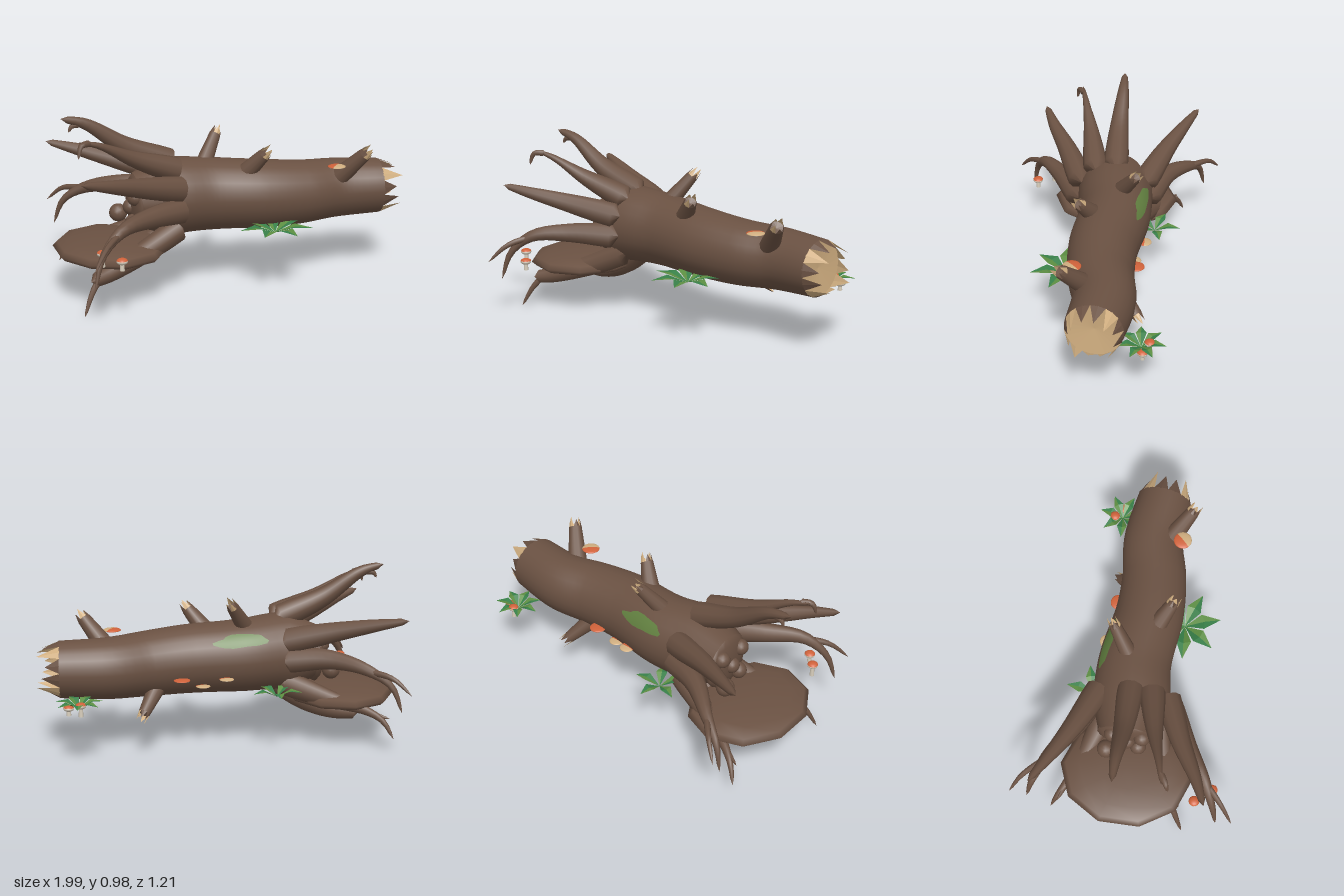
import * as THREE from 'three';

const V = (p) => new THREE.Vector3(...p);
const UP = new THREE.Vector3(0, 1, 0);
const mat = (name, color, side = THREE.FrontSide) =>
  Object.assign(new THREE.MeshStandardMaterial({ color, side }), { name });

// Piecewise linear lookup over evenly spaced values
function sample(values, t) {
  const f = Math.min(Math.max(t, 0), 1) * (values.length - 1);
  const i = Math.min(Math.floor(f), values.length - 2);
  return values[i] + (values[i + 1] - values[i]) * (f - i);
}

// Tube along a curve whose radius follows a list; ends close to points
function taperedTube(curve, radii, segments, sides, closed = true) {
  const geo = new THREE.TubeGeometry(curve, segments, 1, sides);
  const pos = geo.attributes.position;
  const v = new THREE.Vector3();
  for (let i = 0; i <= segments; i++) {
    const c = curve.getPointAt(i / segments);
    const end = closed && (i === 0 || i === segments);
    const r = end ? 0 : sample(radii, i / segments);
    for (let j = 0; j <= sides; j++) {
      const k = i * (sides + 1) + j;
      v.fromBufferAttribute(pos, k).sub(c).multiplyScalar(r).add(c);
      pos.setXYZ(k, v.x, v.y, v.z);
    }
  }
  return geo;
}

function triangles(points) {
  const geo = new THREE.BufferGeometry();
  geo.setAttribute('position', new THREE.Float32BufferAttribute(points.flat(), 3));
  geo.computeVertexNormals();
  return geo;
}

export function createModel() {
  const model = new THREE.Group();
  model.name = 'fallenTree';
  const bark = mat('bark', 0x6a5142);
  const wood = mat('bareWood', 0xd0ae80);
  const capColor = mat('mushroomCap', 0xd0623a);
  const pale = mat('mushroomStem', 0xd8cebc);
  const leafDark = mat('leafDark', 0x388049, THREE.DoubleSide);
  const leafLight = mat('leafLight', 0x5c8e42, THREE.DoubleSide);
  const mossColor = mat('moss', 0x628040, THREE.DoubleSide);

  const add = (name, geo, material, parent = model) => {
    const m = new THREE.Mesh(geo, material);
    m.name = name;
    parent.add(m);
    return m;
  };

  // Trunk
  const trunkCurve = new THREE.CatmullRomCurve3([
    [-0.56, 0.5, -0.02], [-0.35, 0.51, -0.02], [-0.15, 0.5, -0.03], [0.15, 0.485, 0.01],
    [0.38, 0.472, 0.005], [0.6, 0.468, -0.03], [0.86, 0.468, 0],
  ].map(V));
  const trunkRadii = [0.15, 0.215, 0.203, 0.195, 0.19, 0.182, 0.172, 0.164, 0.155];
  add('trunk', taperedTube(trunkCurve, trunkRadii, 32, 24, false), bark);

  // Root plate with clods between the roots
  const plate = add('rootPlate', new THREE.SphereGeometry(0.16, 14, 8), bark);
  plate.position.set(-0.55, 0.49, -0.02);
  plate.scale.x = 0.3;
  for (const [x, y, z, r] of [[-0.63, 0.41, -0.12, 0.05], [-0.59, 0.4, 0.05, 0.045],
    [-0.58, 0.54, 0.07, 0.045], [-0.58, 0.55, -0.09, 0.045], [-0.585, 0.47, -0.01, 0.045]]) {
    add('clod', new THREE.IcosahedronGeometry(r, 2), bark).position.set(x, y, z);
  }

  // Flattened earth mound under the roots
  const mound = add('earthMound', new THREE.SphereGeometry(1, 10, 8).rotateY(Math.PI / 10), bark);
  mound.scale.set(0.31, 0.065, 0.365);
  mound.position.set(-0.705, 0.262, 0);

  // Main roots and their forks
  const longRadii = [0.07, 0.068, 0.06, 0.05, 0.04, 0.028, 0.014];
  const bentRadii = [0.07, 0.067, 0.058, 0.047, 0.035, 0.023, 0.015, 0.006];
  const bluntRadii = [0.065, 0.066, 0.06, 0.054, 0.046, 0.035];
  const forkRadii = [0.018, 0.017, 0.012, 0.005];
  const roots = [
    [longRadii, [-0.33, 0.69, -0.02], [-0.6, 0.8, -0.02], [-0.82, 0.94, -0.03], [-0.95, 0.975, -0.03]],
    [bentRadii, [-0.33, 0.67, 0.09], [-0.6, 0.77, 0.14], [-0.8, 0.87, 0.19], [-0.91, 0.9, 0.215]],
    [longRadii, [-0.33, 0.59, 0.17], [-0.6, 0.65, 0.28], [-0.8, 0.7, 0.38], [-0.95, 0.735, 0.44]],
    [bentRadii, [-0.33, 0.48, 0.18], [-0.57, 0.49, 0.31], [-0.75, 0.47, 0.43], [-0.86, 0.37, 0.49], [-0.91, 0.21, 0.52]],
    [bluntRadii, [-0.33, 0.37, 0.11], [-0.58, 0.26, 0.18], [-0.78, 0.19, 0.25], [-0.88, 0.17, 0.285]],
    [bluntRadii, [-0.33, 0.35, -0.03], [-0.5, 0.23, -0.06], [-0.65, 0.17, -0.085], [-0.8, 0.145, -0.1]],
    [bentRadii, [-0.33, 0.37, -0.13], [-0.58, 0.28, -0.22], [-0.78, 0.22, -0.31], [-0.86, 0.17, -0.36], [-0.91, 0.075, -0.4]],
    [bentRadii, [-0.33, 0.5, -0.2], [-0.57, 0.52, -0.3], [-0.75, 0.48, -0.43], [-0.86, 0.4, -0.49], [-0.91, 0.26, -0.52]],
    [longRadii, [-0.33, 0.6, -0.18], [-0.6, 0.67, -0.29], [-0.8, 0.72, -0.39], [-0.95, 0.755, -0.47]],
  ];
  for (const [radii, ...p] of roots) {
    add('root', taperedTube(new THREE.CatmullRomCurve3(p.map(V)), radii, 18, 10), bark);
  }
  const forks = [
    [[-0.84, 0.94, -0.03], [-0.89, 0.93, -0.03], [-0.91, 0.9, -0.03]],
    [[-0.84, 0.89, 0.2], [-0.9, 0.885, 0.235], [-0.92, 0.82, 0.25]],
    [[-0.74, 0.47, 0.42], [-0.85, 0.42, 0.53], [-0.93, 0.325, 0.605]],
    [[-0.82, 0.19, 0.26], [-0.88, 0.11, 0.3], [-0.93, 0, 0.34]],
    [[-0.74, 0.48, -0.42], [-0.85, 0.46, -0.54], [-0.93, 0.38, -0.605]],
    [[-0.72, 0.24, -0.28], [-0.83, 0.2, -0.33], [-0.9, 0.18, -0.36]],
  ];
  for (const p of forks) {
    add('rootFork', taperedTube(new THREE.CatmullRomCurve3(p.map(V)), forkRadii, 8, 7), bark);
  }

  // Splintered end: bark outside, bare wood inside, every third tooth stripped
  function splinters(center, dir, radius, count, height, depth, floorMaterial) {
    const g = new THREE.Group();
    g.name = 'splinteredEnd';
    const at = (i, r, y) => {
      const a = (i / count) * Math.PI * 2;
      return [r * Math.cos(a), y, r * Math.sin(a)];
    };
    const outer = [], bare = [], floor = [];
    for (let i = 0; i < count; i++) {
      const stripped = i % 3 === 1;
      const tip = at(i + 0.5, radius * 0.76, height * (stripped ? 1 : 0.5 + 0.3 * Math.abs(Math.sin(i * 2.3))));
      for (const s of [i, i + 0.5]) {
        const a = at(s, radius, -0.003), b = at(s + 0.5, radius, -0.003);
        (stripped ? bare : outer).push(a, tip, b);
        bare.push(a, b, tip);
        floor.push(a, [0, -depth, 0], b);
      }
    }
    add('splinterBark', triangles(outer), bark, g);
    add('splinterWood', triangles(bare), wood, g);
    add('brokenFace', triangles(floor), floorMaterial, g);
    g.position.copy(center);
    g.quaternion.setFromUnitVectors(UP, dir);
    model.add(g);
  }
  splinters(trunkCurve.getPointAt(1), trunkCurve.getTangentAt(1), 0.155, 12, 0.12, 0.015, wood);

  // Broken branch stubs
  for (const [from, to, r] of [
    [[-0.17, 0.64, -0.05], [-0.065, 0.8, -0.145], 0.05],
    [[0.03, 0.61, 0.06], [0.125, 0.735, 0.135], 0.055],
    [[0.58, 0.54, 0.06], [0.7, 0.7, 0.175], 0.058],
    [[0.34, 0.36, -0.08], [0.43, 0.25, -0.19], 0.05],
  ]) {
    const a = V(from), b = V(to), dir = b.clone().sub(a);
    const stub = add('branchStub', new THREE.CylinderGeometry(r * 0.65, r, dir.length(), 12, 1, true), bark);
    stub.position.copy(a).lerp(b, 0.5);
    dir.normalize();
    stub.quaternion.setFromUnitVectors(UP, dir);
    splinters(b, dir, r * 0.65, 6, 0.06, 0.01, bark);
  }

  // Moss patch hugging the trunk
  const moss = new THREE.RingGeometry(0, 1, 20, 5);
  const mp = moss.attributes.position;
  for (let i = 0; i < mp.count; i++) {
    const x = mp.getX(i), y = mp.getY(i), a = Math.atan2(y, x);
    const w = 1 + 0.13 * Math.sin(3 * a) + 0.08 * Math.cos(5 * a);
    const u = 0.32 + x * w * 0.1, ang = 2.5 + y * w * 0.2;
    const c = trunkCurve.getPointAt(u), r = sample(trunkRadii, u) + 0.006;
    mp.setXYZ(i, c.x, c.y + r * Math.sin(ang), c.z + r * Math.cos(ang));
  }
  moss.computeVertexNormals();
  add('mossPatch', moss, mossColor);

  // Slice of a mushroom cap, flattened
  function capPart(name, r, flat, phi, phiLength, theta, thetaLength, material, parent) {
    const part = add(name, new THREE.SphereGeometry(r, 14, 6, phi, phiLength, theta, thetaLength), material, parent);
    part.scale.y = flat;
    return part;
  }
  const TURN = Math.PI * 2;

  // Mushrooms on stems, each cap with a pale lower band
  for (const [x, z, h, r] of [[-0.84, 0.39, 0.072, 0.03], [-0.76, 0.48, 0.05, 0.03],
    [0.78, -0.28, 0.06, 0.029], [0.84, -0.245, 0.04, 0.029]]) {
    const g = new THREE.Group();
    g.name = 'mushroom';
    add('stem', new THREE.CylinderGeometry(0.01, 0.013, h, 8), pale, g).position.y = h / 2;
    capPart('cap', r, 0.6, 0, TURN, 0, Math.PI * 0.42, capColor, g).position.y = h;
    capPart('capBand', r, 0.6, 0, TURN, Math.PI * 0.42, Math.PI * 0.58, pale, g).position.y = h;
    g.position.set(x, 0.282, z);
    model.add(g);
  }

  // Shelf fungi on the trunk, partly bare on top
  for (const [x, y, z, r, start] of [[0.55, 0.635, 0.14, 0.05, Math.PI * 0.25], [0.22, 0.415, -0.175, 0.045, 0],
    [0.1, 0.37, -0.155, 0.04, Math.PI], [-0.02, 0.415, -0.205, 0.04, Math.PI]]) {
    const g = new THREE.Group();
    g.name = 'shelfFungus';
    capPart('cap', r, 0.22, start + Math.PI, Math.PI, 0, Math.PI / 2, capColor, g);
    capPart('bareCap', r, 0.22, start, Math.PI, 0, Math.PI / 2, start === 0 ? capColor : wood, g);
    capPart('underside', r, 0.12, 0, TURN, Math.PI / 2, Math.PI / 2, pale, g);
    g.position.set(x, y, z);
    model.add(g);
  }

  // Leafy plants: folded leaves in a rosette
  function plant(x, z, length, count, turn) {
    const g = new THREE.Group();
    g.name = 'plant';
    const w = length * 0.21, base = [0, 0, 0], tip = [length, 0.03, 0];
    const mid = [length * 0.55, 0.036, 0];
    for (let i = 0; i < count; i++) {
      const leaf = new THREE.Group();
      leaf.name = 'leaf';
      for (const s of [1, -1]) {
        const edge = [length * 0.5, 0.04, s * w];
        const pts = s > 0 ? [base, edge, mid, mid, edge, tip] : [base, mid, edge, mid, tip, edge];
        add('leafHalf', triangles(pts), s > 0 ? leafDark : leafLight, leaf);
      }
      leaf.rotation.y = turn + (i * TURN) / count;
      g.add(leaf);
    }
    g.position.set(x, 0.315, z);
    model.add(g);
  }
  plant(0.165, 0.21, 0.205, 7, -0.4);
  plant(-0.29, -0.25, 0.145, 5, 1.48);
  plant(0.785, -0.235, 0.135, 7, 1.4);

  return model;
}
